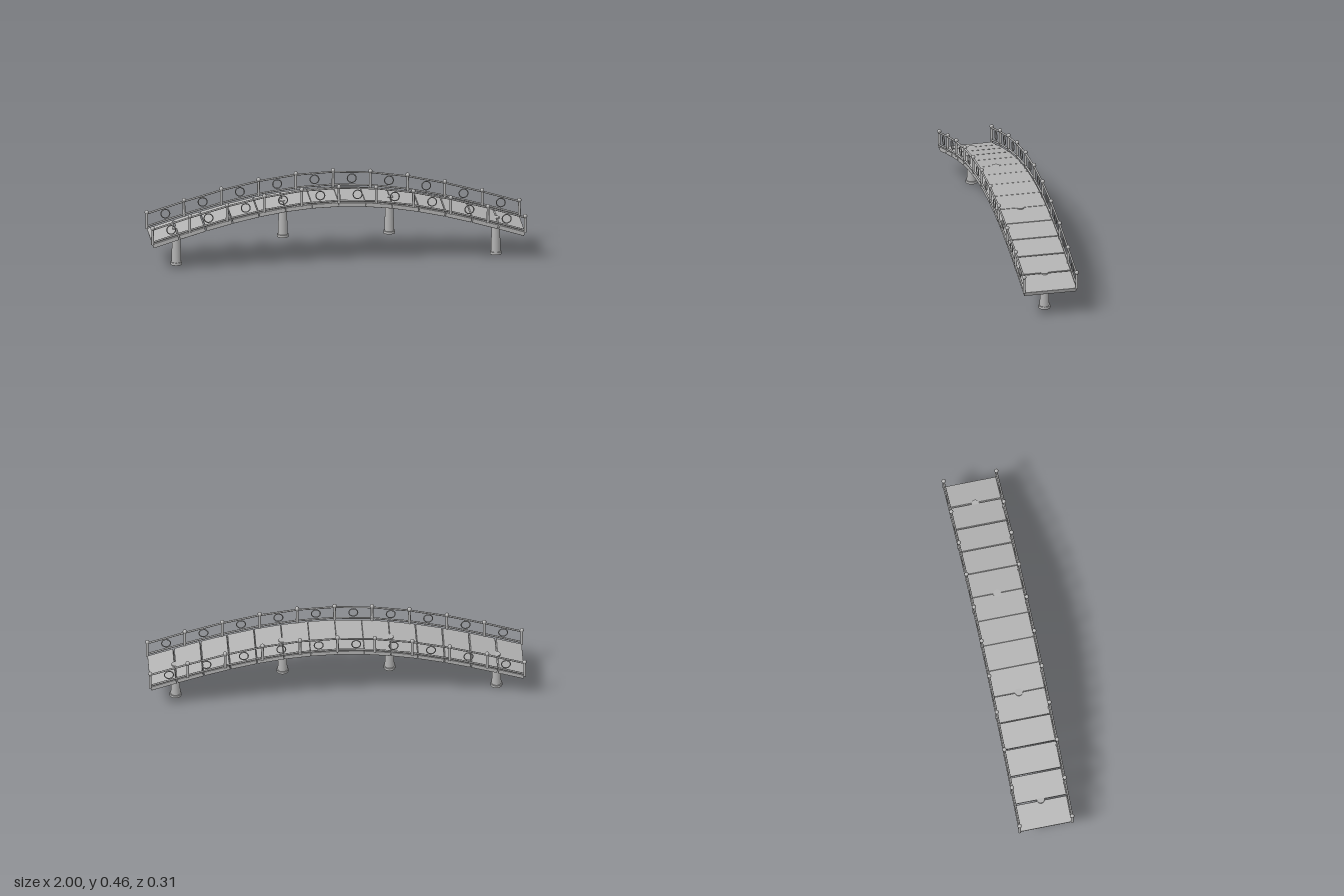
import * as THREE from 'three';
import { RoundedBoxGeometry } from 'three/addons/geometries/RoundedBoxGeometry.js';

const HALF = 0.99, SIDE_Z = 0.142, SLABS = 14, PANELS = 10;

// Height of the walking surface along the arch
const deckY = (x) => 0.157 + 0.198 * Math.cos((Math.PI / 2) * (x / HALF));

export function createModel() {
  const bridge = new THREE.Group();
  bridge.name = 'archedFootbridge';
  const stone = new THREE.MeshStandardMaterial({ color: 0xb2b2b2 });
  stone.name = 'greyStone';

  const add = (parent, name, geometry, x, y, z, tilt = 0) => {
    const mesh = new THREE.Mesh(geometry, stone);
    mesh.name = name;
    mesh.position.set(x, y, z);
    mesh.rotation.z = tilt;
    parent.add(mesh);
    return mesh;
  };

  // Deck: equal slabs tilted to follow the arch
  const deck = new THREE.Group();
  deck.name = 'deck';
  bridge.add(deck);
  const step = (2 * HALF) / SLABS;
  const thick = 0.023;
  const slabGeo = new RoundedBoxGeometry(step, thick, 0.282, 2, 0.002);
  for (let i = 0; i < SLABS; i++) {
    const x0 = -HALF + i * step, x1 = x0 + step;
    const tilt = Math.atan2(deckY(x1) - deckY(x0), step);
    const y = (deckY(x0) + deckY(x1)) / 2 - thick / 2;
    add(deck, 'deckSlab', slabGeo, (x0 + x1) / 2, y, 0, tilt);
  }

  // Railings: posts with ball caps, two rails and a ring in every panel
  const postGeo = new THREE.CylinderGeometry(0.0065, 0.0075, 0.088, 16);
  const ballGeo = new THREE.SphereGeometry(0.011, 20, 14);
  const ringGeo = new THREE.TorusGeometry(0.0235, 0.003, 8, 32);
  const bay = (2 * HALF) / PANELS;
  for (const side of [1, -1]) {
    const railing = new THREE.Group();
    railing.name = side > 0 ? 'frontRailing' : 'backRailing';
    bridge.add(railing);
    const z = side * SIDE_Z;
    for (let i = 0; i <= PANELS; i++) {
      const x0 = -HALF + i * bay, y0 = deckY(x0);
      add(railing, 'post', postGeo, x0, y0 + 0.043, z);
      add(railing, 'postBall', ballGeo, x0, y0 + 0.09, z);
      if (i === PANELS) continue;
      const x1 = x0 + bay, rise = deckY(x1) - y0;
      const tilt = Math.atan2(rise, bay);
      const xm = (x0 + x1) / 2, ym = y0 + rise / 2;
      const railGeo = new THREE.CylinderGeometry(0.005, 0.005, Math.hypot(bay, rise), 12);
      railGeo.rotateZ(Math.PI / 2);
      add(railing, 'topRail', railGeo, xm, ym + 0.082, z, tilt);
      add(railing, 'bottomRail', railGeo, xm, ym + 0.012, z, tilt);
      add(railing, 'ring', ringGeo, xm, ym + 0.048, z);
    }
  }

  // Piers: tapered columns on a round foot, reaching up to the slab joints
  const pierHeight = 0.203;
  const columnGeo = new THREE.CylinderGeometry(0.021, 0.026, pierHeight, 32);
  const footGeo = new THREE.CylinderGeometry(0.031, 0.031, 0.014, 32);
  for (const joint of [-6, -2, 2, 6]) {
    const pier = new THREE.Group();
    pier.name = 'pier';
    const x = joint * step;
    pier.position.set(x, deckY(x) - deckY(6 * step), 0);
    add(pier, 'column', columnGeo, 0, pierHeight / 2, 0);
    add(pier, 'foot', footGeo, 0, 0.007, 0);
    bridge.add(pier);
  }
  return bridge;
}
